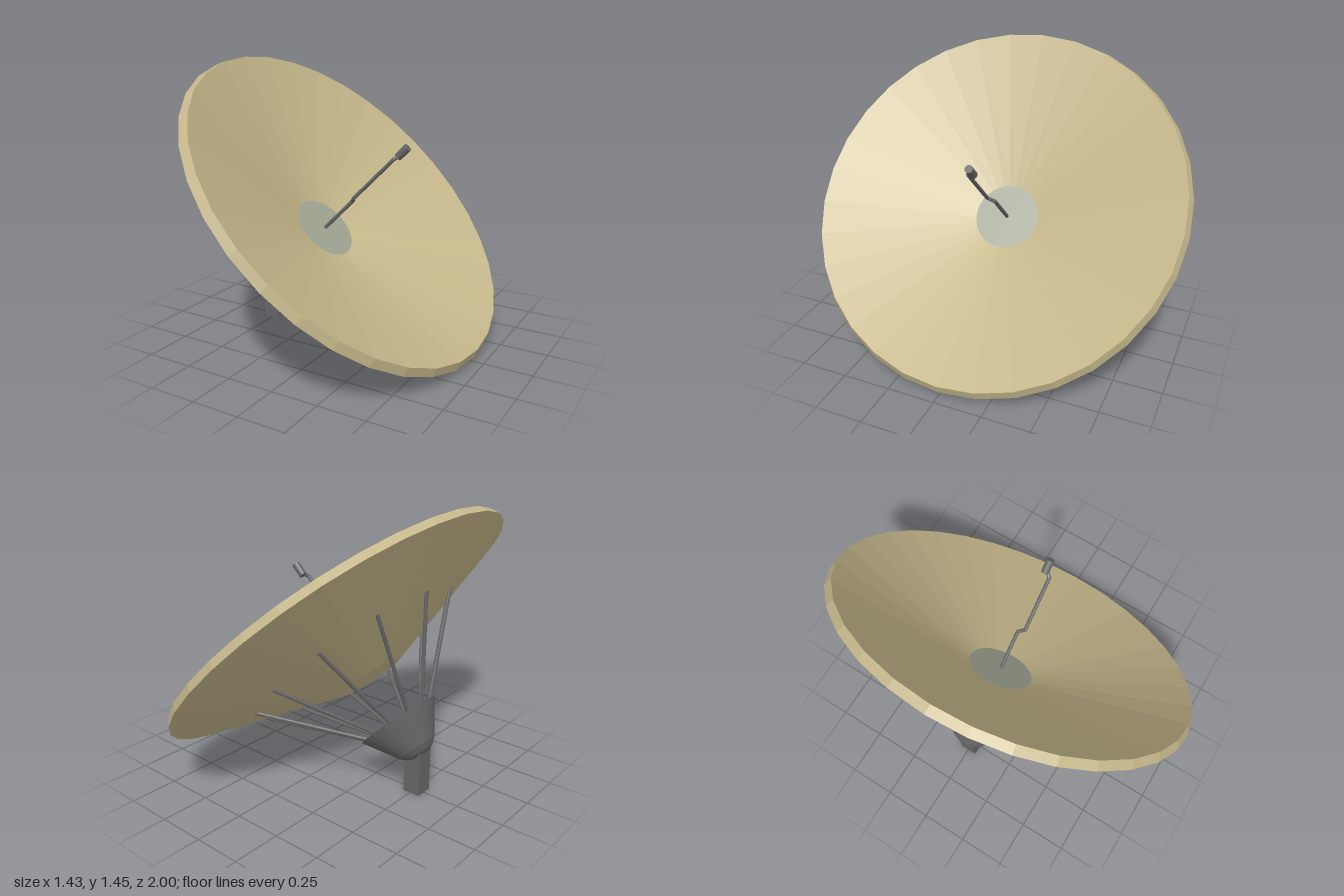
import * as THREE from 'three';

const tan = new THREE.MeshStandardMaterial({ color: 0xc4b68a, flatShading: true });
const plate = new THREE.MeshStandardMaterial({ color: 0xa0a592, flatShading: true });
const steel = new THREE.MeshStandardMaterial({ color: 0x666666, flatShading: true });

function add(parent, name, geometry, material) {
  const mesh = new THREE.Mesh(geometry, material);
  mesh.name = name;
  parent.add(mesh);
  return mesh;
}

// Turned part from [radius, height] pairs, listed bottom to top
function turned(parent, name, profile, material) {
  const points = profile.map(([r, y]) => new THREE.Vector2(r, y));
  return add(parent, name, new THREE.LatheGeometry(points, 32), material);
}

// Round bar between two points
function rod(parent, name, a, b, radius, sides = 8) {
  const dir = b.clone().sub(a);
  const mesh = add(parent, name, new THREE.CylinderGeometry(radius, radius, dir.length(), sides), steel);
  mesh.position.copy(a).add(b).multiplyScalar(0.5);
  mesh.quaternion.setFromUnitVectors(new THREE.Vector3(0, 1, 0), dir.normalize());
  return mesh;
}

export function createModel() {
  const model = new THREE.Group();
  model.name = 'satelliteDish';

  // Square post
  add(model, 'post', new THREE.BoxGeometry(0.093, 0.27, 0.093), steel).position.set(-0.507, 0.135, 0);

  // Everything else shares one axis, tipped 45 degrees towards +x
  const head = new THREE.Group();
  head.name = 'tiltedHead';
  head.position.set(-0.009, 0.729, 0);
  head.rotation.z = -Math.PI / 4;
  model.add(head);

  // Dish shell: back floor, back cone, lip, inner cone
  turned(head, 'dish', [[0, -0.272], [0.179, -0.272], [1, 0], [0.979, 0.044], [0.177, -0.226]], tan);
  turned(head, 'centrePlate', [[0.177, -0.226], [0, -0.226]], plate);

  // Hub: cone with a rounded tip and a flat top
  turned(head, 'hub', [
    [0, -0.747], [0.04, -0.74], [0.075, -0.724], [0.104, -0.698], [0.218, -0.53], [0, -0.53],
  ], steel);

  // Ring of splayed struts between hub and dish
  for (let i = 0; i < 12; i++) {
    const a = (i * Math.PI) / 6;
    const at = (r, y) => new THREE.Vector3(r * Math.cos(a), y, r * Math.sin(a));
    rod(head, 'strut', at(0.173, -0.55), at(0.597, -0.129), 0.0095);
  }

  // Cranked feed arm, with round joints at the bends
  const arm = [[-0.235, 0], [0.014, 0], [0.045, 0.032], [0.365, 0.032], [0.392, 0]]
    .map(([y, z]) => new THREE.Vector3(0, y, z));
  for (let i = 1; i < arm.length; i++) {
    rod(head, 'feedArm', arm[i - 1], arm[i], 0.01);
    add(head, 'armJoint', new THREE.SphereGeometry(0.01, 8, 6), steel).position.copy(arm[i]);
  }

  // Receiver at the end of the arm
  rod(head, 'receiver', new THREE.Vector3(0, 0.378, 0), new THREE.Vector3(0, 0.452, 0), 0.021, 16);

  return model;
}
